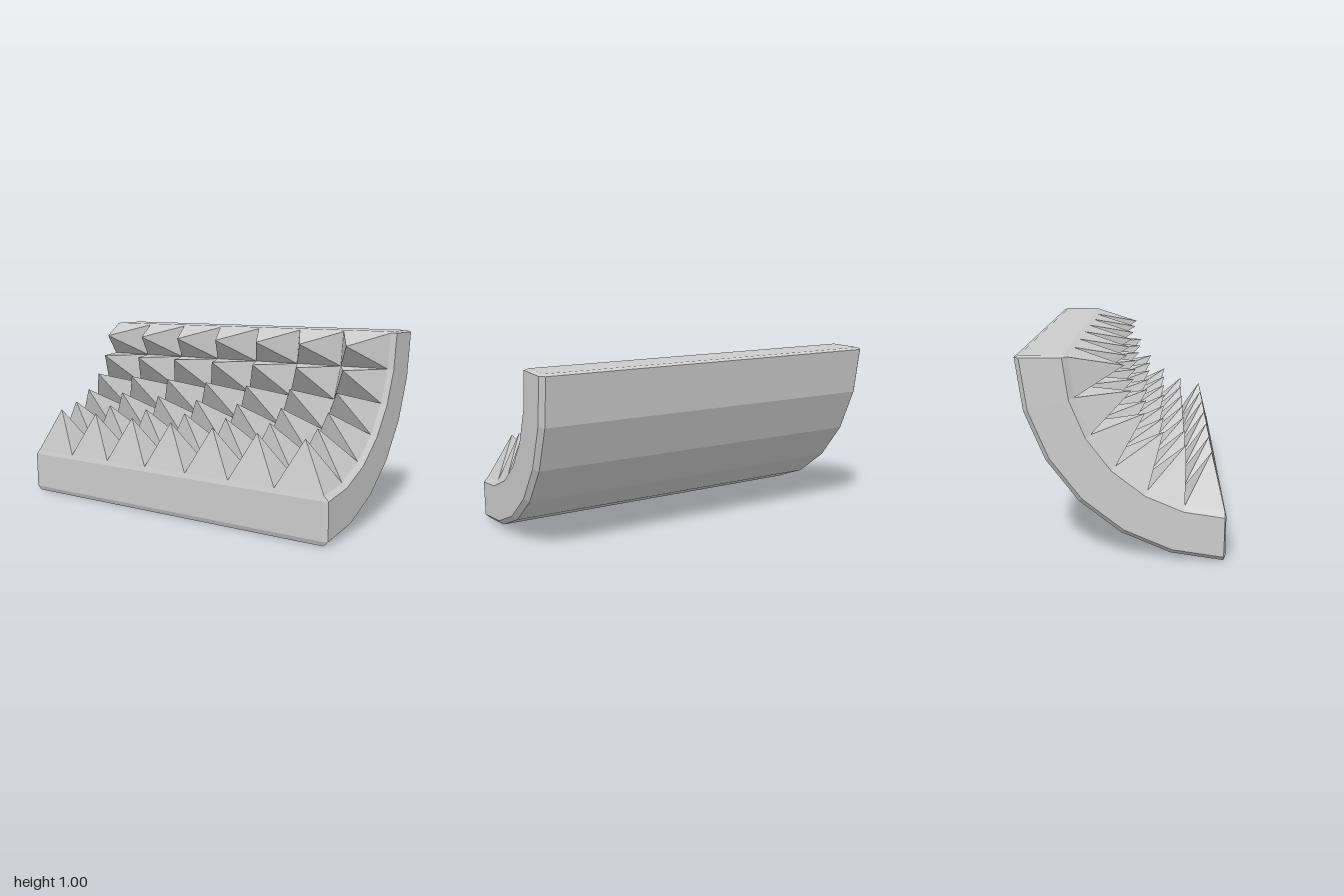
import * as THREE from 'three';

const SEGMENTS = 6, COLUMNS = 7;
const OUTER = 1, INNER = 0.75, TIP = 0.5, BEVEL = 0.025, HALF = 1;
const MARGIN = 0.01; // small angle left for the end bevels
const STEP = (Math.PI / 2 - 2 * MARGIN) / SEGMENTS;

const angleAt = (i) => MARGIN + i * STEP;

// Point on the quarter arc, whose axis runs along x at y = 1, z = 0.5
const arcPoint = (x, r, a) =>
  new THREE.Vector3(x, 1 - r * Math.cos(a), 0.5 - r * Math.sin(a));

// Flat-faced mesh from a list of corner triples
function facetMesh(name, points, material) {
  const geometry = new THREE.BufferGeometry().setFromPoints(points);
  geometry.computeVertexNormals();
  const mesh = new THREE.Mesh(geometry, material);
  mesh.name = name;
  return mesh;
}

function addTriangle(list, a, b, c) {
  const area = b.clone().sub(a).cross(c.clone().sub(a)).length();
  if (area > 1e-8) list.push(a, b, c);
}

function addQuad(list, a, b, c, d) {
  addTriangle(list, a, b, c);
  addTriangle(list, a, c, d);
}

// Curved block: a chamfered rectangle swept along the arc
function createBlock(material) {
  const xIn = HALF - BEVEL, rHigh = OUTER - BEVEL, rLow = INNER + BEVEL;
  const section = [
    [-xIn, OUTER], [xIn, OUTER], [HALF, rHigh], [HALF, rLow],
    [xIn, INNER], [-xIn, INNER], [-HALF, rLow], [-HALF, rHigh],
  ];
  const inset = section.map(([x, r]) => [
    THREE.MathUtils.clamp(x, -xIn, xIn),
    THREE.MathUtils.clamp(r, rLow, rHigh),
  ]);
  const ring = (profile, a) => profile.map(([x, r]) => arcPoint(x, r, a));

  const rings = [ring(inset, 0)];
  for (let i = 0; i <= SEGMENTS; i++) rings.push(ring(section, angleAt(i)));
  rings.push(ring(inset, Math.PI / 2));

  const points = [];
  for (let i = 0; i < rings.length - 1; i++) {
    for (let j = 0; j < 8; j++) {
      const k = (j + 1) % 8;
      addQuad(points, rings[i][j], rings[i + 1][j], rings[i + 1][k], rings[i][k]);
    }
  }
  // Front and top end faces
  const first = rings[0], last = rings[rings.length - 1];
  addQuad(points, first[0], first[1], first[3], first[5]);
  addQuad(points, last[5], last[3], last[1], last[0]);
  return facetMesh('curvedBlock', points, material);
}

// One row of pyramids across the width, pointing at the arc's axis
function createSpikeRow(row, material) {
  const a0 = angleAt(row), a1 = angleAt(row + 1);
  const left = -(HALF - BEVEL), width = (2 * (HALF - BEVEL)) / COLUMNS;
  const points = [];
  for (let c = 0; c < COLUMNS; c++) {
    const x0 = left + c * width, x1 = x0 + width;
    const base = [
      arcPoint(x0, INNER, a0), arcPoint(x1, INNER, a0),
      arcPoint(x1, INNER, a1), arcPoint(x0, INNER, a1),
    ];
    const tip = arcPoint((x0 + x1) / 2, TIP, (a0 + a1) / 2);
    base.forEach((p, i) => addTriangle(points, p, base[(i + 1) % 4], tip));
  }
  return facetMesh(`spikeRow${row + 1}`, points, material);
}

export function createModel() {
  const material = new THREE.MeshStandardMaterial({ color: 0xcccccc, flatShading: true });
  const model = new THREE.Group();
  model.name = 'spikedQuarterPipe';
  model.add(createBlock(material));

  const spikes = new THREE.Group();
  spikes.name = 'spikes';
  for (let row = 0; row < SEGMENTS; row++) spikes.add(createSpikeRow(row, material));
  model.add(spikes);
  return model;
}
